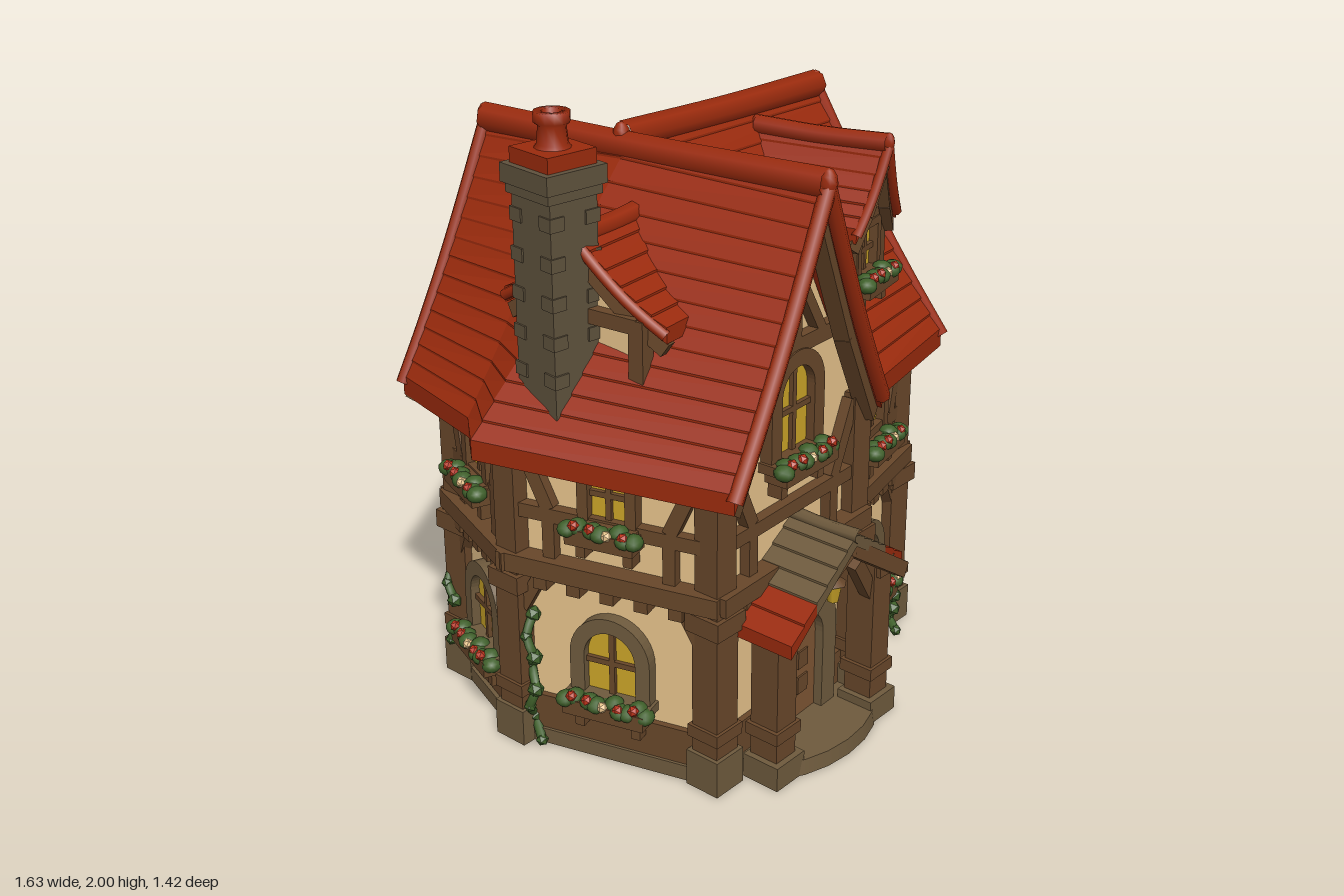
import * as THREE from 'three';

const mat = (name, color) => { const m = new THREE.MeshStandardMaterial({ color }); m.name = name; return m; };
const M = {
  roof: mat('roof red', 0x9b2b0d), cream: mat('plaster', 0xeec990), wood: mat('timber', 0x68472a),
  stone: mat('stone', 0x6e5a3d), glass: mat('window yellow', 0xcba428), leaf: mat('foliage', 0x3f602a),
  flower: mat('flower red', 0xbc321a), door: mat('door brown', 0x7d5533), chimney: mat('chimney stone', 0x5f523d),
};
const V = (x, y, z) => new THREE.Vector3(x, y, z);

function add(parent, name, geo, m, x = 0, y = 0, z = 0) {
  const mesh = new THREE.Mesh(geo, m);
  mesh.name = name;
  mesh.position.set(x, y, z);
  parent.add(mesh);
  return mesh;
}
const box = (p, name, m, w, h, d, x, y, z) => add(p, name, new THREE.BoxGeometry(w, h, d), m, x, y, z);

// square beam between two points
function beam(p, name, a, b, w, d, m = M.wood) {
  const dir = b.clone().sub(a), mid = a.clone().add(b).multiplyScalar(0.5);
  const mesh = box(p, name, m, w, dir.length(), d, mid.x, mid.y, mid.z);
  mesh.quaternion.setFromUnitVectors(V(0, 1, 0), dir.normalize());
}
const bar = (f, x1, y1, x2, y2, w = 0.045, d = 0.05) => beam(f, 'timberBeam', V(x1, y1, 0.01), V(x2, y2, 0.01), w, d);
function tube(p, name, pts, r, m) {
  add(p, name, new THREE.TubeGeometry(new THREE.CatmullRomCurve3(pts), 16, r, 7), m);
}
function cap(p, a, b, r) { // rounded ridge with closed ends
  tube(p, 'ridgeCap', [a, a.clone().lerp(b, 0.5).setY((a.y + b.y) / 2 - 0.006), b], r, M.roof);
  for (const e of [a, b]) add(p, 'ridgeEnd', new THREE.SphereGeometry(r, 8, 6).scale(0.6, 1, 0.6), M.roof, e.x, e.y, e.z);
}

// roof slope in overlapping courses between matching ridge and eave points
const slope = (r, e, t, sag) => r.clone().lerp(e, t).add(V(0, -sag * Math.sin(Math.PI * t), 0));
function roofSide(p, name, ridge, eave, n, m = M.roof, sag = 0.03, thick = 0.05) {
  const pos = [];
  const quad = (a, b, c, d) => [a, b, c, a, c, d].forEach(v => pos.push(v.x, v.y, v.z));
  for (let k = 0; k < ridge.length - 1; k++) for (let i = 0; i < n; i++) {
    const P = (j, t, up) => slope(ridge[j], eave[j], t, sag).add(V(0, up, 0));
    const t0 = i / n, t1 = (i + 1) / n;
    let top = [P(k, t0, 0.007), P(k + 1, t0, 0.007), P(k + 1, t1, 0.014), P(k, t1, 0.014)];
    let low = [P(k, t0, -thick), P(k + 1, t0, -thick), P(k + 1, t1, -thick), P(k, t1, -thick)];
    if (top[2].clone().sub(top[0]).cross(top[3].clone().sub(top[1])).y < 0) { top.reverse(); low.reverse(); }
    quad(...top);
    quad(low[3], low[2], low[1], low[0]);
    for (let s = 0; s < 4; s++) quad(low[s], low[(s + 1) % 4], top[(s + 1) % 4], top[s]);
  }
  const g = new THREE.BufferGeometry();
  g.setAttribute('position', new THREE.Float32BufferAttribute(pos, 3));
  g.computeVertexNormals();
  add(p, name, g, m);
}
// rolled tile edge with a timber bargeboard set in below it
function verge(p, r, e, inward, sag = 0.03, s = 1) {
  tube(p, 'rolledTileEdge', [0, 0.25, 0.5, 0.75, 1].map(t => slope(r, e, t, sag).add(V(0, -0.012, 0))), 0.025 * s, M.roof);
  for (const [a, b] of [[0, 0.5], [0.5, 0.95]])
    beam(p, 'bargeboard', slope(r, e, a, sag).add(V(0, -0.1 * s, 0)).add(inward), slope(r, e, b, sag).add(V(0, -0.1 * s, 0)).add(inward), 0.065 * s, 0.05 * s);
}

// arched outline, base at y = 0
function arch(w, h, rise, C = THREE.Shape) {
  const s = new C();
  s.moveTo(-w / 2, 0); s.lineTo(w / 2, 0); s.lineTo(w / 2, h - rise);
  s.absellipse(0, h - rise, w / 2, Math.max(rise, 0.001), 0, Math.PI, false);
  s.lineTo(-w / 2, 0);
  return s;
}
const plate = (s, d) => new THREE.ExtrudeGeometry(s, { depth: d, bevelEnabled: false, curveSegments: 10 });

function flowerBox(f, x, y, w, z = 0.055) {
  box(f, 'flowerBox', M.wood, w, 0.05, 0.08, x, y, z);
  for (const s of [-1, 1]) box(f, 'boxBracket', M.wood, 0.03, 0.06, 0.05, x + s * w * 0.35, y - 0.05, z - 0.02);
  const n = Math.round(w / 0.026);
  for (let i = 0; i <= n; i++) {
    const px = x + (i / n - 0.5) * w * 0.96, dy = 0.008 * Math.sin(i * 2.3);
    const leaves = new THREE.IcosahedronGeometry(0.03, 1).scale(1, 0.85, 1.1);
    add(f, 'leaves', leaves, M.leaf, px, y + 0.02 + dy, z + 0.014 + 0.012 * Math.cos(i * 1.7));
    if (i % 2) add(f, 'flower', new THREE.IcosahedronGeometry(0.018, 0), i % 6 === 5 ? M.cream : M.flower, px, y + 0.034 + dy, z + 0.037);
  }
}
// window with frame, glazing bars and optional flower box
function win(f, x, y, w, h, { rise = 0, m = M.wood, t = 0.035, flowers = true } = {}) {
  const g = new THREE.Group();
  g.name = 'window'; g.position.set(x, y, 0); f.add(g);
  const ring = arch(w + 2 * t, h + t, rise + (rise ? t : 0));
  ring.holes.push(arch(w, h, rise, THREE.Path));
  add(g, 'windowFrame', plate(ring, 0.04), m);
  add(g, 'windowGlass', plate(arch(w, h, rise), 0.008), M.glass, 0, 0, 0.003);
  box(g, 'mullion', M.wood, 0.018, h, 0.02, 0, h / 2, 0.015);
  box(g, 'transom', M.wood, w, 0.018, 0.02, 0, h * 0.5, 0.015);
  box(g, 'windowSill', m, w + 2.4 * t, 0.03, 0.06, 0, -0.01, 0.03);
  if (flowers) flowerBox(g, 0, -0.03, w + 0.1);
}
function triangle(f, l, r, ax, y0, y1, depth) {
  const s = new THREE.Shape([[l, y0], [r, y0], [ax, y1]].map(p => new THREE.Vector2(...p)));
  add(f, 'gableWall', plate(s, depth), M.cream, 0, 0, -depth);
}
function vine(p, x, z, h) {
  const pts = [0, 1, 2, 3, 4, 5, 6, 7].map(i => V(x + 0.025 * Math.sin(i * 2), 0.02 + h * i / 7, z + 0.03 * Math.cos(i * 2.4)));
  tube(p, 'vineStem', pts, 0.015, M.leaf);
  pts.forEach((q, i) => add(p, 'vineLeaves', new THREE.IcosahedronGeometry(0.02 + 0.007 * (i % 2), 0), M.leaf, q.x, q.y, q.z));
}

// small gabled roof house sitting on the main roof, local +z outward
function dormer(p, x, z, turn, { ry, ey, hw, ww, back, window = true, tip = 0.09 }) {
  const g = new THREE.Group();
  g.name = 'dormer'; g.position.set(x, 0, z); g.rotation.y = turn; p.add(g);
  box(g, 'dormerWall', M.cream, ww, ey - 1.2, back, 0, (ey + 1.2) / 2, -back / 2);
  triangle(g, -ww / 2, ww / 2, 0, ey - 0.01, ry - 0.09, 0.1);
  const ridge = [V(0, ry, tip), V(0, ry, -back)];
  for (const s of [-1, 1]) {
    const eave = [V(s * hw, ey, tip - 0.03), V(s * hw, ey, -back)];
    roofSide(g, 'dormerRoof', ridge, eave, 6, M.roof, 0.02, 0.035);
    verge(g, ridge[0], eave[0], V(0, 0, -0.025), 0.02, 0.7);
    bar(g, s * ww / 2, 1.22, s * ww / 2, ey + 0.02, 0.05);
  }
  cap(g, ridge[0], ridge[1], 0.032);
  bar(g, -ww / 2, ey, ww / 2, ey, 0.045);
  if (!window) return;
  bar(g, 0, ey, 0, ry - 0.08, 0.04);
  win(g, 0, 1.33, ww * 0.58, ey - 1.36, { t: 0.025 });
}

export function createModel() {
  const house = new THREE.Group();
  house.name = 'timberHouse';

  // footprint corners, counted from the front wall round by the +x side
  const C = [[-0.48, 0.46], [0.2, 0.43], [0.21, 0.37], [0.65, 0.27], [0.65, -0.38], [0.13, -0.51], [0.12, -0.58], [-0.51, -0.57], [-0.66, -0.17]];
  const floor = (name, k, y0, y1, m) => {
    const s = new THREE.Shape(C.map(([x, z]) => new THREE.Vector2(x * k, -z * k)));
    const g = plate(s, y1 - y0);
    g.rotateX(-Math.PI / 2);
    add(house, name, g, m, 0, y0, 0);
  };
  floor('plinth', 1.05, 0, 0.05, M.stone);
  floor('walls', 1, 0.03, 1.1, M.cream);

  // one group per wall: local x along the wall, z outward
  const F = C.map(([x, z], i) => {
    const [x2, z2] = C[(i + 1) % C.length], f = new THREE.Group(), len = Math.hypot(x2 - x, z2 - z);
    f.name = 'wallFace';
    f.position.set((x + x2) / 2, 0, (z + z2) / 2);
    f.rotation.y = Math.atan2(z - z2, x2 - x);
    house.add(f);
    box(f, 'floorBeam', M.wood, len + 0.07, 0.06, 0.11, 0, 0.63, 0.01);
    if (len < 0.2) return f;
    box(f, 'sillBeam', M.wood, len, 0.13, 0.04, 0, 0.1, 0);
    box(f, 'railBeam', M.wood, len, 0.045, 0.05, 0, 0.8, 0.01);
    if (i) box(f, 'topBeam', M.wood, len + 0.04, 0.06, 0.07, 0, 1.06, 0.01);
    for (let k = -2; k <= 2; k++) box(f, 'corbel', M.wood, 0.045, 0.05, 0.06, k * len * 0.17, 0.58, 0.02);
    for (const s of [-1, 1]) {
      bar(f, s * len * 0.3, 0.82, s * len * 0.45, 1.04, 0.045);
      bar(f, s * len * 0.3, 0.66, s * len * 0.3, 0.8, 0.04);
      bar(f, s * (len / 2 - 0.03), 0.47, s * (len / 2 - 0.1), 0.6, 0.04);
    }
    return f;
  });
  C.forEach(([x, z], i) => {
    if (i === 2 || i === 5) return;
    box(house, 'cornerPostLower', M.wood, 0.095, 0.56, 0.095, x, 0.33, z);
    box(house, 'cornerPostUpper', M.wood, 0.085, 0.42, 0.085, x, 0.85, z);
    box(house, 'postFoot', M.stone, 0.12, 0.12, 0.12, x, 0.06, z);
    box(house, 'postCollar', M.wood, 0.115, 0.04, 0.115, x, 0.19, z);
    box(house, 'postHead', M.wood, 0.125, 0.06, 0.125, x, 0.56, z);
  });

  // windows
  const low = { rise: 0.09, m: M.stone, t: 0.048 }, up = { rise: 0.03, t: 0.035 };
  const [front, , south, east, north, , rear, westB, westA] = F;
  win(south, -0.03, 0.23, 0.19, 0.21, low);
  win(south, 0, 0.79, 0.12, 0.19, { t: 0.035 });
  win(east, 0.03, 0.24, 0.2, 0.2, { ...low, flowers: false });
  win(east, 0.03, 0.82, 0.18, 0.19, { rise: 0.06, t: 0.04 });
  for (const f of [north, rear, westB, westA]) {
    win(f, 0, 0.23, 0.17, 0.22, low);
    win(f, 0, 0.81, 0.12, 0.18, { ...up, flowers: f !== rear });
  }
  win(front, 0, 0.98, 0.16, 0.27, { rise: 0.08, t: 0.05 });
  win(east, 0.07, 1.2, 0.1, 0.18, { t: 0.04, flowers: false });
  win(rear, 0.05, 1.2, 0.1, 0.18, { t: 0.035, flowers: false });

  // gables: [wall, left, right, apex x, collar height]
  for (const [f, l, r, ax, cy] of [[front, -0.36, 0.35, -0.01, 1.31], [east, -0.35, 0.42, 0.085, 1.43], [rear, -0.33, 0.34, 0.05, 1.43]]) {
    triangle(f, l, r, ax, 1.04, 1.71, 0.12);
    const reach = (1.74 - cy) * 0.53;
    bar(f, ax - reach, cy, ax + reach, cy, 0.05);
    bar(f, ax, cy, ax, 1.7, 0.05);
    for (const s of [-1, 1]) bar(f, ax + s * reach * 0.62, cy, ax + s * 0.02, cy + 0.2, 0.035);
    if (f === front) continue;
    bar(f, l, 1.1, r, 1.1, 0.06, 0.08);
    for (const s of [-1, 1]) {
      bar(f, ax + s * 0.12, 1.08, ax + s * 0.1, 1.43, 0.045);
      bar(f, ax + s * 0.27, 1.1, ax + s * 0.12, 1.3, 0.045);
    }
  }

  // long roof running front to back
  const r1 = [V(-0.14, 1.81, 0.57), V(-0.2, 1.83, -0.1), V(-0.22, 1.82, -0.3), V(-0.26, 1.81, -0.65)];
  const e1w = [V(-0.59, 1.04, 0.62), V(-0.81, 1.04, -0.18), V(-0.71, 1.04, -0.3), V(-0.62, 1.04, -0.69)];
  const e1e = [V(0.26, 1.04, 0.5), V(0.22, 1.04, -0.1), V(0.2, 1.04, -0.3), V(0.17, 1.04, -0.66)];
  roofSide(house, 'roofWest', r1, e1w, 14);
  roofSide(house, 'roofInner', r1, e1e, 14);
  cap(house, r1[0], r1[3], 0.045);
  // cross roof towards +x
  const r2 = [V(-0.21, 1.83, -0.13), V(0.755, 1.8, -0.16)];
  const e2s = [V(0.26, 1.04, 0.46), V(0.8, 1.04, 0.35)], e2n = [V(0.15, 1.04, -0.64), V(0.71, 1.04, -0.58)];
  roofSide(house, 'roofSouth', r2, e2s, 14);
  roofSide(house, 'roofNorth', r2, e2n, 14);
  cap(house, r2[0], r2[1], 0.045);
  for (const e of [e1w, e1e]) {
    verge(house, r1[0], e[0], V(0, 0, -0.04));
    verge(house, r1[3], e[3], V(0, 0, 0.04));
  }
  for (const e of [e2s, e2n]) verge(house, r2[1], e[1], V(-0.04, 0, 0));

  dormer(house, 0.455, 0.25, 0.2, { ry: 1.75, ey: 1.5, hw: 0.15, ww: 0.2, back: 0.36 });
  dormer(house, 0.36, -0.44, Math.PI, { ry: 1.69, ey: 1.5, hw: 0.14, ww: 0.18, back: 0.28, tip: 0.07 });
  dormer(house, -0.53, 0.02, -Math.PI / 2 + 0.1, { ry: 1.65, ey: 1.42, hw: 0.29, ww: 0.4, back: 0.27, window: false, tip: 0.04 });

  // chimney
  const ch = new THREE.Group();
  ch.name = 'chimney'; ch.position.set(-0.59, 0, -0.03); ch.rotation.y = -0.12; house.add(ch);
  box(ch, 'chimneyShaft', M.chimney, 0.165, 0.65, 0.17, 0, 1.46, 0);
  for (let i = 0; i < 5; i++) for (const s of [-1, 1]) for (const q of [-1, 1])
    box(ch, 'quoin', M.chimney, 0.05, 0.04, 0.05, s * 0.063, 1.25 + i * 0.115, q * 0.066);
  box(ch, 'chimneyCapLower', M.chimney, 0.19, 0.03, 0.19, 0, 1.785, 0);
  box(ch, 'chimneyCap', M.chimney, 0.21, 0.055, 0.21, 0, 1.827, 0);
  box(ch, 'potBase', M.roof, 0.17, 0.045, 0.17, 0, 1.877, 0);
  const pot = [[0.06, 1.89], [0.045, 1.91], [0.04, 1.96], [0.052, 1.97], [0.052, 2], [0.028, 2], [0.024, 1.94], [0, 1.94]];
  add(ch, 'chimneyPot', new THREE.LatheGeometry(pot.map(p => new THREE.Vector2(...p)), 12), M.roof);

  // porch with tiled roof, posts and door
  const porch = new THREE.Group();
  porch.name = 'porch'; porch.position.set(-0.1, 0, 0); house.add(porch);
  const step = new THREE.CylinderGeometry(0.29, 0.3, 0.05, 20);
  add(porch, 'doorStep', step, M.stone, 0, 0.026, 0.5).scale.z = 0.6;
  const pr = [V(0, 0.75, 0.68), V(0, 0.75, 0.42)];
  for (const s of [-1, 1]) {
    box(porch, 'porchPost', M.wood, 0.09, 0.52, 0.1, s * 0.235, 0.3, 0.565);
    box(porch, 'porchPostFoot', M.stone, 0.13, 0.08, 0.13, s * 0.235, 0.04, 0.57);
    box(porch, 'porchPostCollar', M.wood, 0.115, 0.04, 0.12, s * 0.235, 0.17, 0.565);
    beam(porch, 'porchPlate', V(s * 0.235, 0.54, 0.4), V(s * 0.235, 0.54, 0.63), 0.07, 0.06);
    const pe = [V(s * 0.335, 0.53, 0.66 - s * 0.045), V(s * 0.335, 0.53, 0.42)];
    const mid = pr.map((r, i) => r.clone().lerp(pe[i], 0.62));
    roofSide(porch, 'porchStoneTiles', pr, mid, 4, M.stone, 0, 0.03);
    roofSide(porch, 'porchRedTiles', mid, pe, 2, M.roof, 0, 0.03);
    beam(porch, 'porchBargeboard', V(0, 0.71, 0.65), V(s * 0.31, 0.5, 0.63), 0.05, 0.04);
    beam(porch, 'porchBrace', V(s * 0.22, 0.43, 0.58), V(s * 0.1, 0.6, 0.6), 0.045, 0.04);
  }
  tube(porch, 'porchRidge', [V(0, 0.755, 0.69), V(0, 0.75, 0.55), V(0, 0.755, 0.42)], 0.022, M.stone);
  add(porch, 'lantern', new THREE.CylinderGeometry(0.03, 0.018, 0.06, 6), M.glass, 0, 0.54, 0.6);
  add(porch, 'lanternTop', new THREE.ConeGeometry(0.042, 0.035, 6), M.wood, 0, 0.588, 0.6);
  beam(porch, 'lanternChain', V(0, 0.59, 0.6), V(0, 0.72, 0.6), 0.012, 0.012);
  const ring = arch(0.36, 0.47, 0.18);
  ring.holes.push(arch(0.22, 0.38, 0.11, THREE.Path));
  add(front, 'doorArch', plate(ring, 0.06), M.stone, 0.02, 0.05, 0);
  add(front, 'door', plate(arch(0.22, 0.38, 0.11), 0.03), M.door, 0.02, 0.05, 0);
  for (const s of [-1, 1]) for (const y of [0.16, 0.25]) box(front, 'doorPanel', M.wood, 0.05, 0.06, 0.008, 0.02 + s * 0.04, y, 0.032);

  // climbing plants: [x, z, height]
  for (const v of [[0.68, -0.37, 0.45], [0.64, -0.44, 0.4], [0.18, -0.58, 0.5], [-0.5, -0.63, 0.42], [-0.55, -0.6, 0.36], [-0.68, -0.1, 0.42], [0.57, 0.35, 0.2]])
    vine(house, ...v);
  return house;
}
